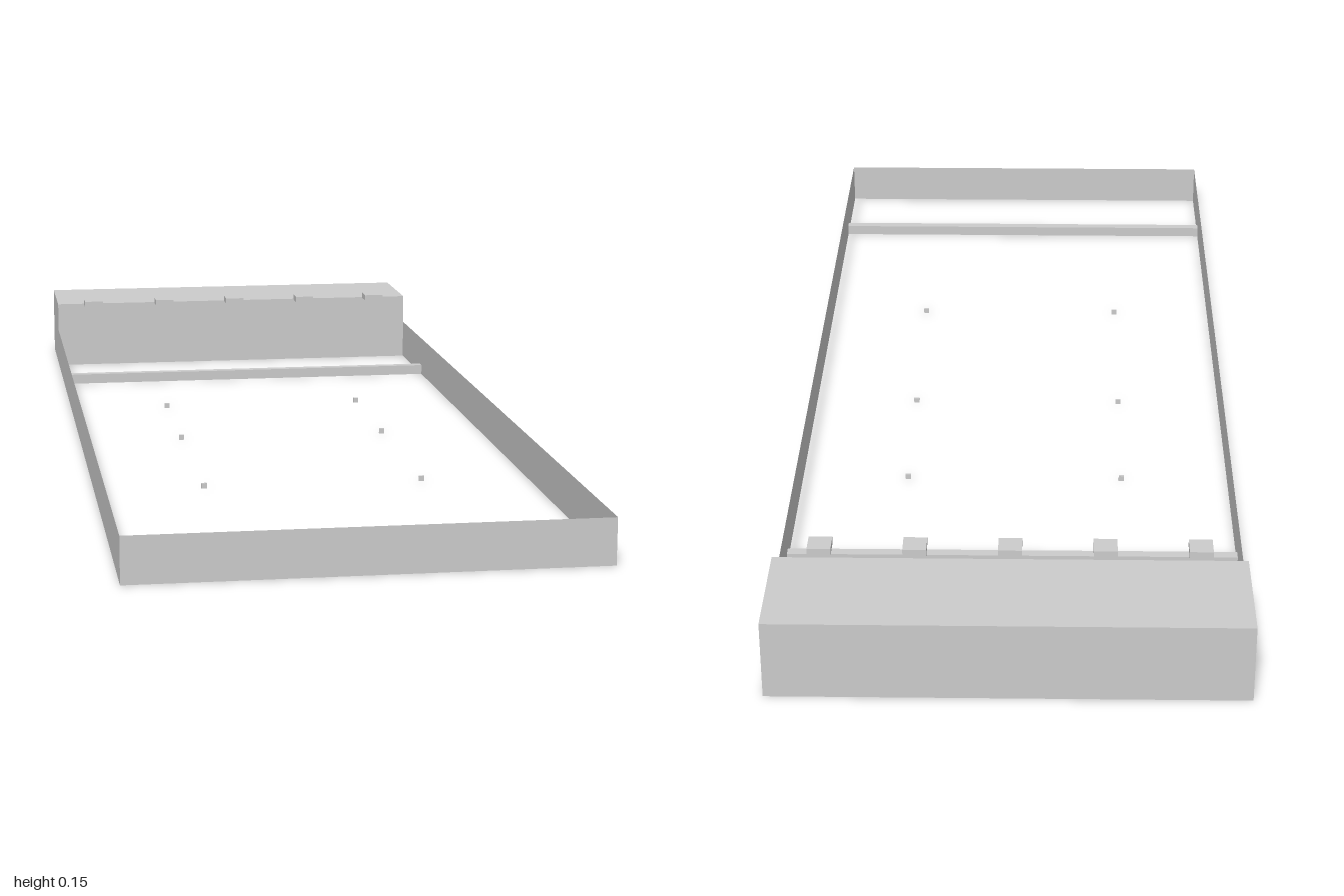
import * as THREE from 'three';

const solid = new THREE.MeshStandardMaterial({ color: 0xcccccc, flatShading: true });
const sheet = new THREE.MeshStandardMaterial({ color: 0xcccccc, flatShading: true, side: THREE.DoubleSide });

export function createModel() {
  const model = new THREE.Group();
  const add = (name, geometry, material, x, y, z) => {
    const mesh = new THREE.Mesh(geometry, material);
    mesh.name = name;
    mesh.position.set(x, y, z);
    model.add(mesh);
    return mesh;
  };
  const box = (name, w, h, d, x, bottom, z) =>
    add(name, new THREE.BoxGeometry(w, h, d), solid, x, bottom + h / 2, z);

  const halfWidth = 0.398, wallHeight = 0.08;

  // Raised block across the rear end
  box('rearBlock', halfWidth * 2, 0.14, 0.2, 0, 0, -0.9);

  // Paper-thin walls round the open tray
  add('frontWall', new THREE.PlaneGeometry(halfWidth * 2, wallHeight), sheet, 0, wallHeight / 2, 1);
  for (const side of [1, -1]) {
    const wall = add(side > 0 ? 'leftWall' : 'rightWall',
      new THREE.PlaneGeometry(1.8, wallHeight), sheet, side * halfWidth, wallHeight / 2, 0.1);
    wall.rotation.y = side * Math.PI / 2;
  }

  // Row of tabs along the block's upper front edge
  for (let i = -2; i <= 2; i++) box('tab', 0.04, 0.012, 0.04, i * 0.16, 0.14, -0.773);

  // Cross bars on the floor of the tray
  for (const z of [-0.59, 0.809]) box('crossBar', halfWidth * 2, 0.02, 0.018, 0, 0, z);

  // Tiny pegs in three pairs
  for (const z of [-0.3, 0, 0.4])
    for (const x of [-0.2, 0.2]) box('peg', 0.01, 0.01, 0.004, x, 0, z);

  return model;
}
